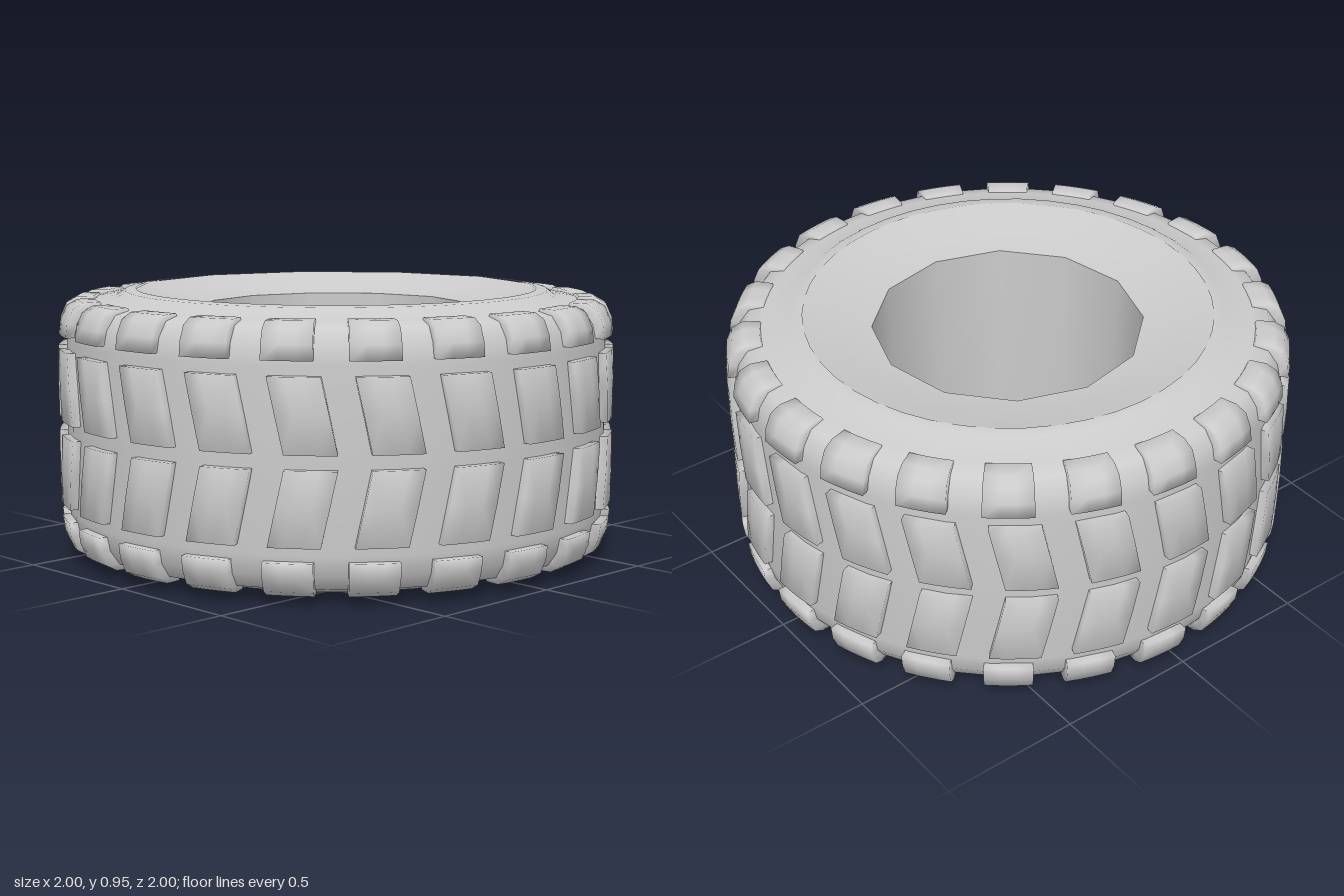
import * as THREE from 'three';

const H = 0.95;          // tyre width, lying flat
const COUNT = 22;        // tread blocks per row
const STEP = (Math.PI * 2) / COUNT;
const material = new THREE.MeshStandardMaterial({ color: 0xcccccc });

// Surface of revolution from [radius, y] pairs
function ring(name, points, sides, start = 0) {
  const profile = points.map(([r, y]) => new THREE.Vector2(r, y));
  const mesh = new THREE.Mesh(new THREE.LatheGeometry(profile, sides, start), material);
  mesh.name = name;
  return mesh;
}

// Raised block: a curved patch with sloped skirts down to the carcass.
// rows: [outer radius, outer y, base radius, base y, start angle]
function blockGeometry(rows, width, mirrored) {
  const cols = [0, 0, 0.33, 0.67, 1, 1];
  const first = rows[0], last = rows[rows.length - 1];
  const all = [first, ...rows, last];
  const positions = [], index = [];
  all.forEach(([r, y, br, by, start], i) => {
    cols.forEach((t, j) => {
      const skirt = i === 0 || i === all.length - 1 || j === 0 || j === cols.length - 1;
      const radius = skirt ? br : r;
      const height = skirt ? by : y;
      const a = start + t * width;
      positions.push(radius * Math.sin(a), mirrored ? H - height : height, radius * Math.cos(a));
    });
  });
  const n = cols.length;
  for (let i = 0; i < all.length - 1; i++) {
    for (let j = 0; j < n - 1; j++) {
      const a = i * n + j, b = a + 1, c = b + n, d = a + n;
      if (mirrored) index.push(a, c, b, a, d, c);
      else index.push(a, b, c, a, c, d);
    }
  }
  const geometry = new THREE.BufferGeometry();
  geometry.setAttribute('position', new THREE.Float32BufferAttribute(positions, 3));
  geometry.setIndex(index);
  geometry.computeVertexNormals();
  return geometry;
}

// Repeat a block around the axle
function blockRow(name, geometry) {
  const row = new THREE.Group();
  row.name = name;
  for (let k = 0; k < COUNT; k++) {
    const block = new THREE.Mesh(geometry, material);
    block.name = 'treadBlock';
    block.rotation.y = k * STEP;
    row.add(block);
  }
  return row;
}

export function createModel() {
  const tyre = new THREE.Group();
  tyre.name = 'tyre';

  // Carcass: tread base, rounded shoulders and sidewalls
  const upper = [
    [0.972, H / 2], [0.97, 0.78], [0.955, 0.85], [0.92, 0.9],
    [0.86, 0.915], [0.79, 0.925], [0.76, 0.946], [0.72, 0.95],
  ];
  const lower = upper.slice(1).reverse().map(([r, y]) => [r, H - y]);
  tyre.add(ring('carcass', [...lower, ...upper], 44));

  // Faceted bead slopes and bore
  const turn = Math.PI / 12 + 0.2;
  tyre.add(ring('upperBead', [[0.755, 0.945], [0.735, 0.948], [0.6, 0.905], [0.48, 0.885]], 12, turn));
  tyre.add(ring('bore', [[0.48, 0.885], [0.475, H / 2], [0.48, 0.065]], 12, turn));
  tyre.add(ring('lowerBead', [[0.48, 0.065], [0.6, 0.045], [0.735, 0.002], [0.755, 0.005]], 12, turn));

  // Slanted centre blocks form a chevron; shoulder blocks wrap over the edge
  const centre = [
    [0.998, 0.5, 0.96, 0.5, 0.055],
    [1.0, 0.625, 0.96, 0.625, 0.028],
    [0.998, 0.75, 0.96, 0.75, 0],
  ];
  const shoulder = [
    [0.996, 0.8, 0.955, 0.8, -0.02],
    [0.99, 0.85, 0.945, 0.845, -0.02],
    [0.968, 0.9, 0.92, 0.88, -0.02],
    [0.93, 0.921, 0.89, 0.895, -0.02],
    [0.87, 0.922, 0.86, 0.9, -0.02],
  ];
  for (const [side, mirrored] of [['upper', false], ['lower', true]]) {
    tyre.add(blockRow(side + 'CentreBlocks', blockGeometry(centre, 0.175, mirrored)));
    tyre.add(blockRow(side + 'ShoulderBlocks', blockGeometry(shoulder, 0.17, mirrored)));
  }
  return tyre;
}
